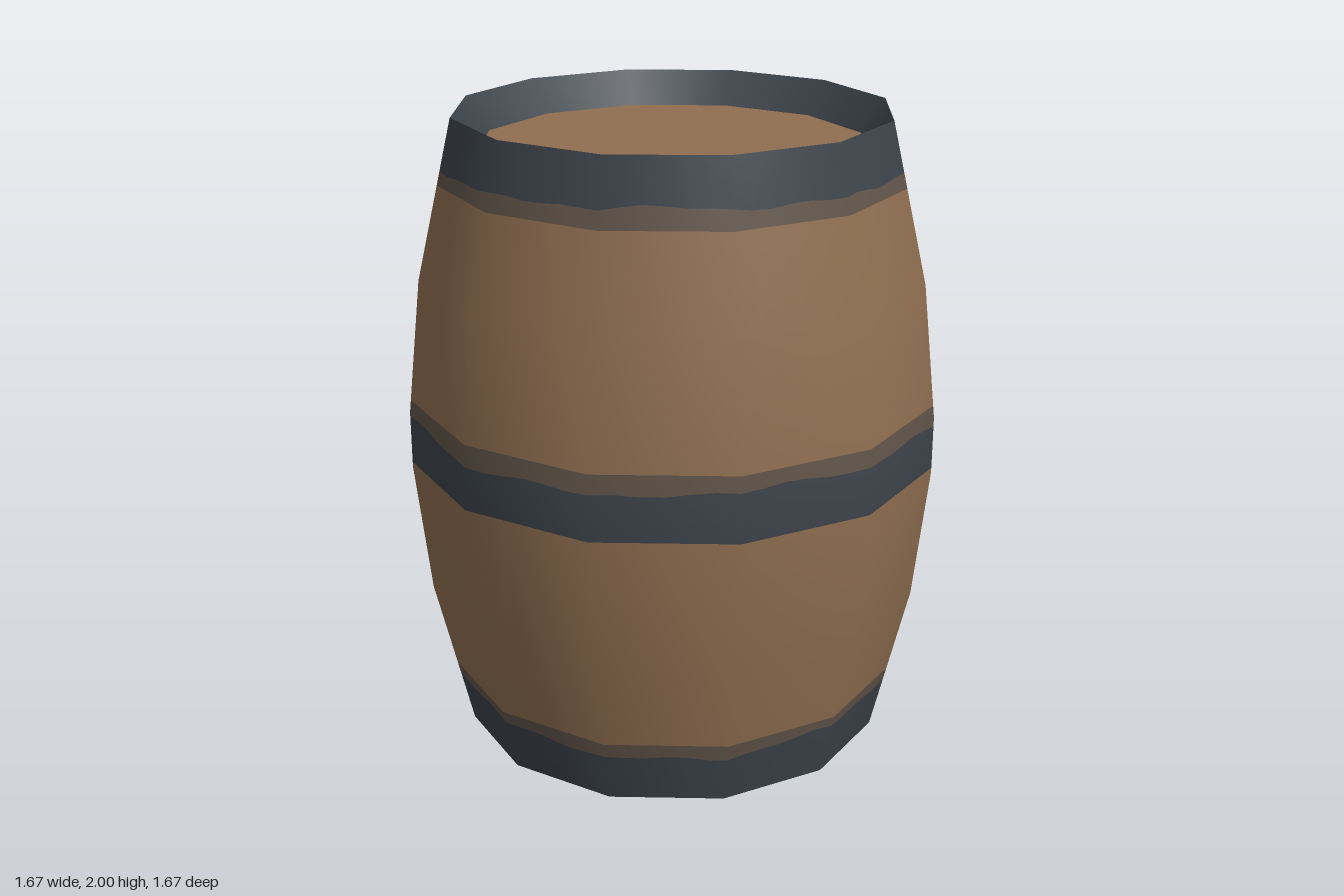
import * as THREE from 'three';

const SIDES = 12;
const SPLIT = 6; // columns per side, for the worn hoop edges
// radius and outward slope of the barrel at each height: [y, radius, slope]
const PROFILE = [
  [0, 0.675, -0.235], [0.49, 0.79, -0.165], [0.91, 0.836, -0.055],
  [1.09, 0.836, 0.055], [1.51, 0.79, 0.165], [2, 0.675, 0.235],
];

function profileAt(y) {
  let i = 0;
  while (i < PROFILE.length - 2 && y > PROFILE[i + 1][0]) i++;
  const a = PROFILE[i], b = PROFILE[i + 1];
  const t = (y - a[0]) / (b[0] - a[0]);
  return [a[1] + (b[1] - a[1]) * t, a[2] + (b[2] - a[2]) * t];
}

// uneven edge that closes on itself around the barrel
const ragged = (y, phase) => (a) => y + 0.008 * Math.sin(3 * a + phase)
  + 0.005 * Math.sin(8 * a + phase * 2) + 0.004 * Math.sin(19 * a + phase * 3);

// ring of barrel wall through the given heights (numbers or functions of the angle)
function wallRing(levels) {
  const pos = [], nor = [], idx = [];
  const cols = SIDES * SPLIT, step = (Math.PI * 2) / SIDES;
  for (const level of levels) {
    for (let c = 0; c <= cols; c++) {
      const y = typeof level === 'function' ? level((c / cols) * Math.PI * 2) : level;
      const [r, slope] = profileAt(y);
      const k = Math.floor(c / SPLIT), t = (c % SPLIT) / SPLIT;
      const x = Math.sin(k * step) * (1 - t) + Math.sin((k + 1) * step) * t;
      const z = Math.cos(k * step) * (1 - t) + Math.cos((k + 1) * step) * t;
      const n = new THREE.Vector3(x, slope, z).normalize();
      pos.push(x * r, y, z * r);
      nor.push(n.x, n.y, n.z);
    }
  }
  for (let l = 0; l < levels.length - 1; l++) {
    for (let c = 0; c < cols; c++) {
      const a = l * (cols + 1) + c, b = a + cols + 1;
      idx.push(a, a + 1, b + 1, a, b + 1, b);
    }
  }
  const geo = new THREE.BufferGeometry();
  geo.setAttribute('position', new THREE.Float32BufferAttribute(pos, 3));
  geo.setAttribute('normal', new THREE.Float32BufferAttribute(nor, 3));
  geo.setIndex(idx);
  return geo;
}

export function createModel() {
  const wood = new THREE.MeshStandardMaterial({ color: 0x906f51 });
  wood.name = 'wood';
  const iron = new THREE.MeshStandardMaterial({ color: 0x3d444b });
  iron.name = 'iron';
  const worn = new THREE.MeshStandardMaterial({ color: 0x62554a });
  worn.name = 'wornEdge';

  const barrel = new THREE.Group();
  barrel.name = 'barrel';
  const add = (name, geo, mat) => {
    const mesh = new THREE.Mesh(geo, mat);
    mesh.name = name;
    barrel.add(mesh);
    return mesh;
  };

  // outer wall, bottom to top
  const low = ragged(0.165, 1), mid = ragged(1.072, 2.5), high = ragged(1.853, 4);
  add('bottomHoop', wallRing([0, low]), iron);
  add('bottomHoopEdge', wallRing([low, 0.21]), worn);
  add('lowerStaves', wallRing([0.21, 0.49, 0.91, 0.925]), wood);
  add('middleHoop', wallRing([0.925, mid]), iron);
  add('middleHoopEdge', wallRing([mid, 1.09, 1.13]), worn);
  add('upperStaves', wallRing([1.13, 1.51, 1.8]), wood);
  add('topHoopEdge', wallRing([1.8, high]), worn);
  add('topHoop', wallRing([high, 2]), iron);

  // sloped inner rims and recessed lids at both ends
  for (const top of [true, false]) {
    const end = top ? 'top' : 'bottom';
    const points = [new THREE.Vector2(0.675, 2), new THREE.Vector2(0.6, 1.895)];
    const rim = add(end + 'InnerRim', new THREE.LatheGeometry(points, SIDES), iron);
    const lid = add(end + 'Lid', new THREE.CircleGeometry(0.6, SIDES), wood);
    lid.rotation.x = top ? -Math.PI / 2 : Math.PI / 2;
    lid.position.y = top ? 1.895 : 0.105;
    if (!top) {
      rim.rotation.x = Math.PI;
      rim.position.y = 2;
    }
  }

  // slight twist of the twelve-sided body
  barrel.rotation.y = -0.019;
  const model = new THREE.Group();
  model.add(barrel);
  return model;
}
